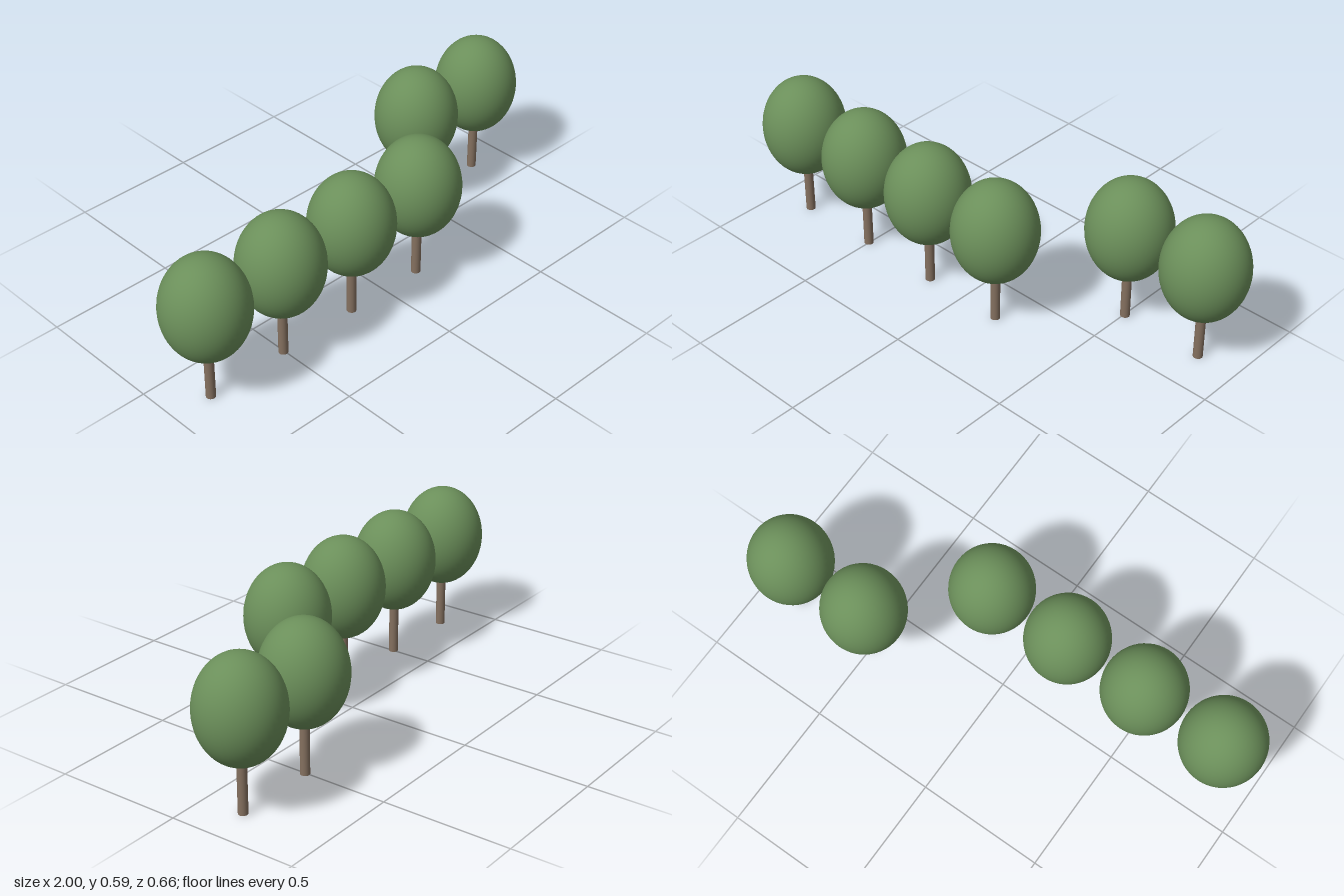
import * as THREE from 'three';

const SPACING = 0.3355;
const CROWN_RADIUS = 0.161;
const CROWN_HALF_HEIGHT = 0.201;
const CROWN_Y = 0.39;
const TRUNK_RADIUS = 0.018;
const TRUNK_HEIGHT = 0.22; // runs a little way into the crown

export function createModel() {
  const leaves = new THREE.MeshStandardMaterial({ color: 0x6b8f5a });
  leaves.name = 'leaf green';
  const bark = new THREE.MeshStandardMaterial({ color: 0x84705f });
  bark.name = 'bark brown';

  // Shared shapes: egg-like crown and slim round trunk
  const crownGeometry = new THREE.SphereGeometry(1, 48, 32);
  crownGeometry.scale(CROWN_RADIUS, CROWN_HALF_HEIGHT, CROWN_RADIUS);
  const trunkGeometry = new THREE.CylinderGeometry(TRUNK_RADIUS, TRUNK_RADIUS, TRUNK_HEIGHT, 24);

  function makeTree(x, z) {
    const tree = new THREE.Group();
    tree.name = 'tree';
    const trunk = new THREE.Mesh(trunkGeometry, bark);
    trunk.name = 'trunk';
    trunk.position.y = TRUNK_HEIGHT / 2;
    const crown = new THREE.Mesh(crownGeometry, leaves);
    crown.name = 'crown';
    crown.position.y = CROWN_Y;
    tree.add(trunk, crown);
    tree.position.set(x, 0, z);
    return tree;
  }

  // Four trees in the front row, then two set one row back
  const row = new THREE.Group();
  row.name = 'treeRow';
  for (let i = 0; i < 6; i++) {
    const z = i < 4 ? SPACING / 2 : -SPACING / 2;
    row.add(makeTree((i - 2.5) * SPACING, z));
  }
  return row;
}
